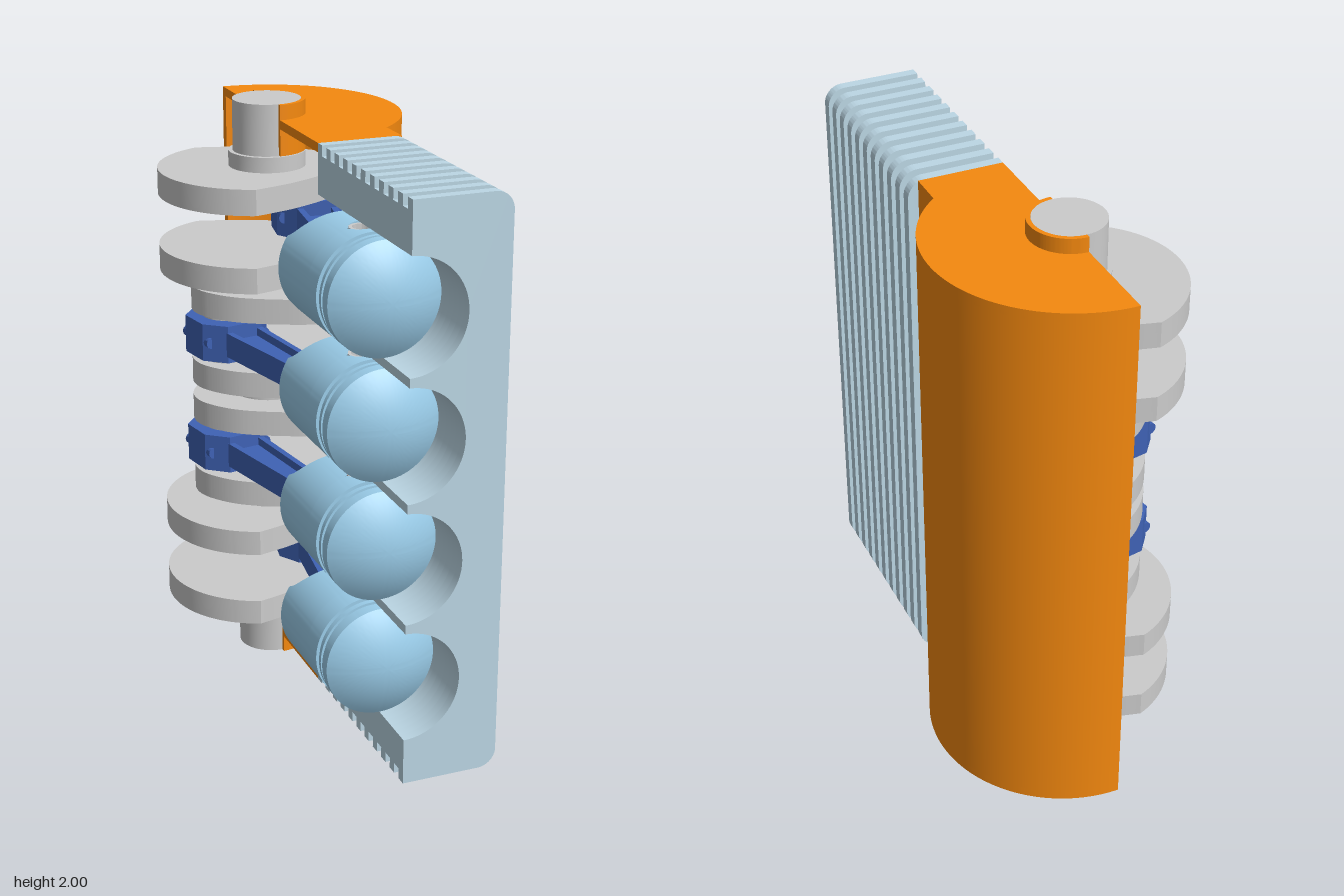
import * as THREE from 'three';
import { toCreasedNormals } from 'three/addons/utils/BufferGeometryUtils.js';

const CUT = -0.04, CRANK_Z = -0.38, PIN_Z = 0.46, THROW = 0.155, BORE = 0.185;
const CYLINDERS = [0.4, 0.8, 1.2, 1.6];

const mat = (color) => new THREE.MeshStandardMaterial({ color });
const steel = mat(0xcccccc), orange = mat(0xf5890f), finBlue = mat(0xbcd7e5);
const pistonBlue = mat(0x9ccfec), rodBlue = mat(0x3f62b5);

function part(name, geo, material, parent) {
  const g = geo.index ? geo.toNonIndexed() : geo;
  const mesh = new THREE.Mesh(toCreasedNormals(g, 0.6), material);
  mesh.name = name;
  parent.add(mesh);
  return mesh;
}

// Plate drawn in the x-z plane, spanning y0..y1
function slab(shape, y0, y1) {
  const g = new THREE.ExtrudeGeometry(shape, { depth: y1 - y0, bevelEnabled: false, curveSegments: 40 });
  return g.rotateX(Math.PI / 2).translate(0, y1, 0);
}

const rod = (r, y0, y1) => new THREE.CylinderGeometry(r, r, y1 - y0, 48).translate(0, (y0 + y1) / 2, 0);

function poly(points) {
  return new THREE.Shape(points.map(([x, y]) => new THREE.Vector2(x, y)));
}

function ring(ro, ri) {
  const s = new THREE.Shape().absarc(0, 0, ro, 0, Math.PI * 2);
  s.holes.push(new THREE.Path().absarc(0, 0, ri, 0, Math.PI * 2, true));
  return s;
}

// Crank web: round counterweight on -x, tapering to the crankpin on +x
function webShape() {
  const side = [[0, 0.265], [0.16, 0.18], [0.245, 0.085]];
  const pts = [...side, [0.27, 0], ...side.map(([x, y]) => [x, -y]).reverse(), [-0.15, -0.31]];
  const s = new THREE.Shape();
  s.moveTo(-0.15, 0.31);
  s.splineThru(pts.map(([x, y]) => new THREE.Vector2(x, y)));
  const a = Math.atan2(0.31, -0.108);
  s.absarc(-0.042, 0, 0.328, -a, a - Math.PI * 2, true);
  return s;
}

function makeCrankshaft() {
  const g = new THREE.Group();
  g.name = 'crankshaft';
  g.position.set(CUT, 0, CRANK_Z);
  part('shaftEnd', rod(0.115, 0, 0.18), steel, g);
  part('shaftEnd', rod(0.115, 1.82, 2), steel, g);
  for (const y of [0.2, 0.6, 1, 1.4, 1.8]) part('mainJournal', rod(0.13, y - 0.027, y + 0.027), steel, g);
  CYLINDERS.forEach((y, i) => {
    const throwGroup = new THREE.Group();
    throwGroup.name = 'crankThrow';
    throwGroup.position.y = y;
    throwGroup.rotation.y = i === 0 || i === 3 ? 0 : Math.PI;
    part('upperWeb', slab(webShape(), 0.088, 0.175), steel, throwGroup);
    part('lowerWeb', slab(webShape(), -0.175, -0.088), steel, throwGroup);
    part('crankpin', rod(0.08, -0.09, 0.09).translate(THROW, 0, 0), steel, throwGroup);
    g.add(throwGroup);
  });
  return g;
}

// Connecting rod along +z, big end at its origin
function makeRod(y, side) {
  const g = new THREE.Group();
  g.name = 'connectingRod';
  const dz = PIN_Z - CRANK_Z, len = Math.hypot(THROW, dz);
  g.position.set(CUT + side * THROW, y, CRANK_Z);
  g.rotation.y = Math.atan2(-side * THROW, dz);
  const big = poly([[-0.07, -0.11], [0.07, -0.11], [0.125, -0.06], [0.125, 0.06],
    [0.065, 0.13], [-0.065, 0.13], [-0.125, 0.06], [-0.125, -0.06]]);
  big.holes.push(new THREE.Path().absarc(0, 0, 0.08, 0, Math.PI * 2, true));
  part('bigEnd', slab(big, -0.065, 0.065), rodBlue, g);
  part('smallEnd', slab(ring(0.068, 0.045), -0.055, 0.055).translate(0, 0, len), rodBlue, g);
  const z0 = 0.1, z1 = len - 0.045;
  part('shankWeb', slab(poly([[-0.06, z0], [0.06, z0], [0.035, z1], [-0.035, z1]]), -0.015, 0.015), rodBlue, g);
  for (const s of [-1, 1]) {
    const flange = poly([[s * 0.07, z0], [s * 0.048, z0], [s * 0.022, z1], [s * 0.04, z1]]);
    part('shankFlange', slab(flange, -0.042, 0.042), rodBlue, g);
    part('capBolt', new THREE.CylinderGeometry(0.02, 0.02, 0.17, 12).rotateX(Math.PI / 2)
      .translate(s * 0.103, 0, 0), rodBlue, g);
  }
  return g;
}

// Lathe around z; the skirt edge is arched and the seam at the pin opens into a round hole
function pistonLathe(points, holeSide) {
  const geo = new THREE.LatheGeometry(points.map(([r, z]) => new THREE.Vector2(r, z)), 128);
  const p = geo.attributes.position;
  for (let i = 0; i < p.count; i++) {
    const x = p.getX(i), z = p.getY(i);
    if (Math.abs(z - 0.22) < 1e-4 && Math.abs(x) < 0.15) p.setY(i, 0.22 + 0.07 * Math.sqrt(1 - (x / 0.15) ** 2));
    if (Math.abs(z - PIN_Z) < 1e-4 && Math.abs(x) < 0.045) p.setY(i, PIN_Z + holeSide * Math.sqrt(0.045 ** 2 - x * x));
  }
  return geo.rotateX(Math.PI / 2);
}

function makePiston(y) {
  const g = new THREE.Group();
  g.name = 'piston';
  g.position.set(CUT, y, 0);
  const R = 0.183, r = 0.16, groove = 0.172;
  part('skirt', pistonLathe([[r, PIN_Z], [r, 0.22], [R, 0.22], [R, PIN_Z], [r, PIN_Z]], -1), pistonBlue, g);
  const crown = [[0, 0.6], [r - 0.03, 0.59], [r, 0.56], [r, PIN_Z], [R, PIN_Z], [R, 0.54], [groove, 0.54],
    [groove, 0.557], [R - 0.003, 0.557], [R - 0.003, 0.572], [groove, 0.572], [groove, 0.592], [R, 0.592], [R, 0.63]];
  for (let i = 1; i <= 12; i++) {
    const x = R * (1 - i / 12);
    crown.push([x, 0.63 + 0.06 * (1 - (x / R) ** 2)]);
  }
  part('crown', pistonLathe(crown, 1), pistonBlue, g);
  for (const [y0, y1] of [[0.065, 0.165], [-0.165, -0.065]])
    part('pinBoss', slab(ring(0.07, 0.044), y0, y1).translate(0, 0, PIN_Z), pistonBlue, g);
  part('wristPin', slab(ring(0.045, 0.034), -0.178, 0.178).translate(0, 0, PIN_Z), steel, g);
  return g;
}

// Half block section with the four bores cut out of the flat side
function blockShape(x, y0, y1, r) {
  const s = new THREE.Shape();
  s.moveTo(CUT, y0);
  s.lineTo(x - r, y0);
  s.absarc(x - r, y0 + r, r, -Math.PI / 2, 0);
  s.absarc(x - r, y1 - r, r, 0, Math.PI / 2);
  s.lineTo(CUT, y1);
  for (const y of [...CYLINDERS].reverse()) s.absarc(CUT, y, BORE, Math.PI / 2, -Math.PI / 2, true);
  s.closePath();
  return s;
}

function makeBlock() {
  const g = new THREE.Group();
  g.name = 'cylinderBlock';
  const step = 0.73 / 21;
  for (let i = 0; i < 21; i++) {
    const fin = i % 2 === 0;
    const shape = fin ? blockShape(0.28, 0.06, 1.95, 0.06) : blockShape(0.245, 0.095, 1.915, 0.035);
    const geo = new THREE.ExtrudeGeometry(shape, { depth: step, bevelEnabled: false, curveSegments: 20 });
    part(fin ? 'coolingFin' : 'blockCore', geo.translate(0, 0, 0.09 + i * step), finBlue, g);
  }
  return g;
}

function makeCrankcase() {
  const g = new THREE.Group();
  g.name = 'crankcase';
  const R = 0.45, t = 0.03, xN = 0.245, up = -Math.PI / 2;
  const angle = (x, r) => Math.acos((x - CUT) / r);
  const outer = () => {
    const s = new THREE.Shape();
    s.moveTo(CUT, CRANK_Z - R);
    s.absarc(CUT, CRANK_Z, R, up, angle(xN, R));
    s.lineTo(xN, 0.09);
    return s;
  };
  // Side wall
  const wall = outer();
  wall.lineTo(xN - t, 0.09);
  wall.absarc(CUT, CRANK_Z, R - t, angle(xN - t, R - t), up, true);
  wall.closePath();
  part('caseWall', slab(wall, 0.06, 1.95), orange, g);
  // End plates with half bearing holes
  const plate = outer();
  plate.lineTo(CUT, 0.09);
  plate.absarc(CUT, CRANK_Z, 0.115, Math.PI / 2, up, true);
  plate.closePath();
  part('bottomPlate', slab(plate, 0.06, 0.06 + t), orange, g);
  part('topPlate', slab(plate, 1.95 - t, 1.95), orange, g);
  // Bearing bosses around the shaft ends
  const boss = new THREE.Shape();
  boss.absarc(CUT, CRANK_Z, 0.13, up, Math.PI / 2);
  boss.absarc(CUT, CRANK_Z, 0.115, Math.PI / 2, up, true);
  boss.closePath();
  part('bottomBearing', slab(boss, 0, 0.17), orange, g);
  part('topBearing', slab(boss, 1.83, 2), orange, g);
  return g;
}

export function createModel() {
  const model = new THREE.Group();
  model.name = 'cutawayEngine';
  model.add(makeCrankcase(), makeBlock(), makeCrankshaft());
  CYLINDERS.forEach((y, i) => model.add(makePiston(y), makeRod(y, i === 0 || i === 3 ? 1 : -1)));
  return model;
}
